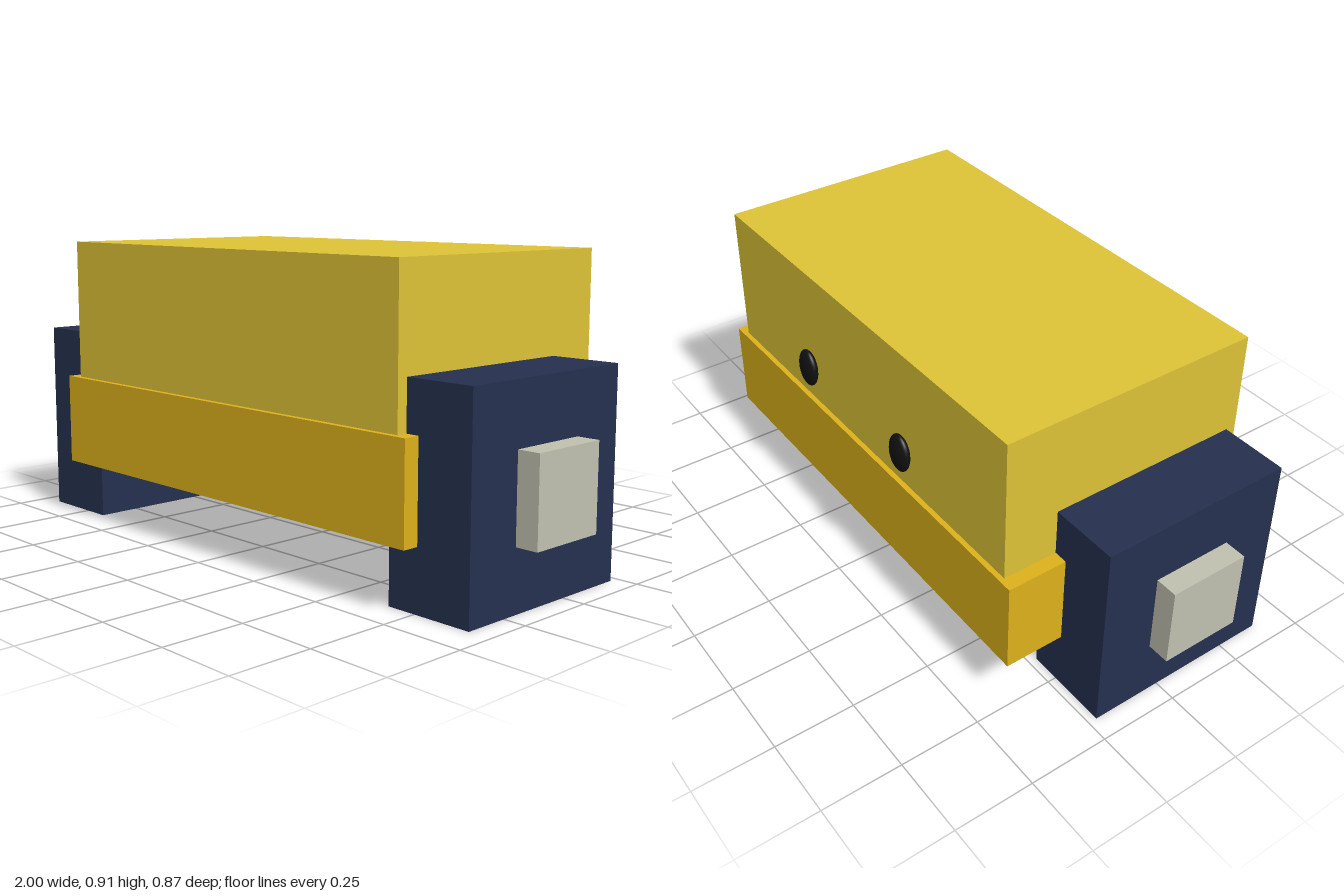
import * as THREE from 'three';

const mat = (color) => new THREE.MeshStandardMaterial({ color });

export function createModel() {
  const model = new THREE.Group();
  model.name = 'blockFigure';
  const yellow = mat(0xdcc236), amber = mat(0xdcb01a), navy = mat(0x25304f);
  const stone = mat(0xc0c0b0), black = mat(0x111111);

  // Box given by its lower and upper corners
  function box(name, material, [x0, y0, z0], [x1, y1, z1]) {
    const mesh = new THREE.Mesh(new THREE.BoxGeometry(x1 - x0, y1 - y0, z1 - z0), material);
    mesh.position.set((x0 + x1) / 2, (y0 + y1) / 2, (z0 + z1) / 2);
    mesh.name = name;
    model.add(mesh);
    return mesh;
  }

  // Upper block resting on a slightly wider base
  box('upperBody', yellow, [-0.72, 0.467, -0.394], [0.717, 0.912, 0.42]);
  box('base', amber, [-0.763, 0.18, -0.41], [0.758, 0.467, 0.437]);

  for (const [side, s] of [['left', 1], ['right', -1]]) {
    // Square side block with a hub standing out of its outer face
    const block = box(side + 'SideBlock', navy, [0.66, 0, -0.223], [0.932, 0.612, 0.387]);
    const hub = box(side + 'Hub', stone, [0.8, 0.18, -0.045], [1, 0.433, 0.208]);
    block.position.x *= s;
    hub.position.x *= s;

    // Flattened oval button on the back
    const button = new THREE.Mesh(new THREE.SphereGeometry(1, 32, 16), black);
    button.name = side + 'BackButton';
    button.scale.set(0.045, 0.062, 0.021);
    button.position.set(s * 0.255, 0.595, -0.415);
    model.add(button);
  }
  return model;
}
